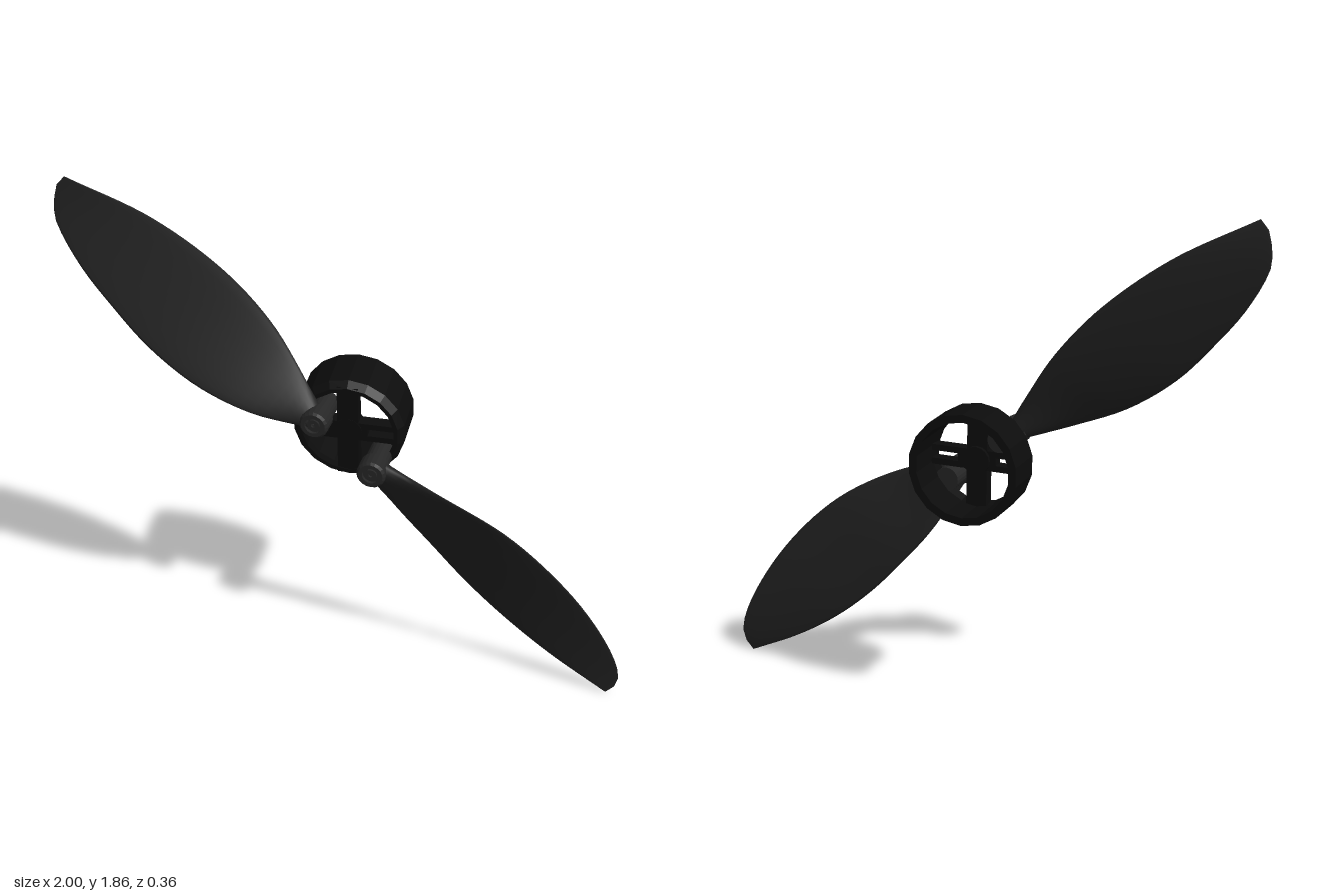
import * as THREE from 'three';

const paint = (color) => new THREE.MeshStandardMaterial({ color, side: THREE.DoubleSide });
const bladeMat = paint(0x222222);
const hubMat = paint(0x0c0c0c);
const boltMat = paint(0x262626);

function add(parent, name, geometry, material) {
  const mesh = new THREE.Mesh(geometry, material);
  mesh.name = name;
  parent.add(mesh);
  return mesh;
}

// Twisted blade: lens sections lofted between a leading and a trailing edge curve
function bladeGeometry(leading, trailing) {
  const toCurve = (pts) => new THREE.CatmullRomCurve3(pts.map((p) => new THREE.Vector3(...p)), false, 'centripetal');
  const a = toCurve(leading), b = toCurve(trailing);
  const rows = 30, cols = 20, pos = [], index = [];
  for (let i = 0; i <= rows; i++) {
    const t = i / rows;
    const A = a.getPointAt(t), B = b.getPointAt(t);
    const half = 0.03 * Math.max(0, 1 - t / 0.25) ** 2 + 0.011 * Math.sqrt(1 - t);
    for (let k = 0; k < cols; k++) {
      const ang = (k / cols) * Math.PI * 2;
      const p = A.clone().lerp(B, (1 - Math.cos(ang)) / 2);
      pos.push(p.x, p.y, p.z + half * Math.sin(ang));
    }
  }
  for (let i = 0; i < rows; i++) {
    for (let k = 0; k < cols; k++) {
      const p = i * cols + k, q = i * cols + ((k + 1) % cols);
      index.push(p, p + cols, q, q, p + cols, q + cols);
    }
  }
  const g = new THREE.BufferGeometry();
  g.setAttribute('position', new THREE.Float32BufferAttribute(pos, 3));
  g.setIndex(index);
  g.computeVertexNormals();
  return g;
}

// Lathe turned so that its axis runs along z; points are [radius, z]
function turned(points, segments) {
  const g = new THREE.LatheGeometry(points.map(([r, z]) => new THREE.Vector2(r, z)), segments).toNonIndexed();
  g.rotateX(Math.PI / 2);
  g.computeVertexNormals();
  return g;
}

function createHub() {
  const hub = new THREE.Group();
  hub.name = 'hub';

  // Hollow drum with a chamfered front rim
  add(hub, 'drum', turned([
    [0.172, -0.17], [0.2, -0.17], [0.2, -0.008], [0.18, 0.018],
    [0.165, 0.018], [0.172, -0.02], [0.172, -0.17],
  ], 18), hubMat);

  // Vertical spoke
  const spoke = add(hub, 'verticalSpoke', new THREE.BoxGeometry(0.075, 0.36, 0.045), hubMat);
  spoke.position.z = -0.008;

  // Horizontal spoke with a slot on each side
  const shape = new THREE.Shape([[-0.18, -0.036], [0.18, -0.036], [0.18, 0.036], [-0.18, 0.036]]
    .map(([x, y]) => new THREE.Vector2(x, y)));
  for (const s of [-1, 1]) {
    shape.holes.push(new THREE.Path([[0.07, -0.014], [0.07, 0.014], [0.168, 0.014], [0.168, -0.014]]
      .map(([x, y]) => new THREE.Vector2(s * x, y))));
  }
  const slotted = add(hub, 'horizontalSpoke',
    new THREE.ExtrudeGeometry(shape, { depth: 0.045, bevelEnabled: false }), hubMat);
  slotted.position.z = -0.032;

  // Centre boss
  add(hub, 'centreBoss', turned([[0, -0.045], [0.05, -0.045], [0.05, 0.016], [0, 0.016]], 16), hubMat);

  hub.position.set(-0.015, 0.94, 0);
  hub.rotation.set(0.04, 0.055, 0);
  return hub;
}

// Pivot post with a collar and a recessed screw head
function createPivot(name, x, y, tiltY) {
  const pivot = new THREE.Group();
  pivot.name = name;
  add(pivot, 'post', turned([
    [0, -0.03], [0.043, -0.03], [0.043, 0.065], [0.052, 0.07], [0.052, 0.128],
    [0.044, 0.136], [0.03, 0.136], [0.03, 0.124], [0, 0.124],
  ], 20), boltMat);
  add(pivot, 'screwHead', turned([[0.008, 0.12], [0.008, 0.132], [0.022, 0.132], [0.022, 0.12]], 12), boltMat);
  pivot.position.set(x, y, 0);
  pivot.rotation.y = tiltY;
  return pivot;
}

export function createModel() {
  const model = new THREE.Group();
  model.name = 'foldingPropeller';
  model.add(createHub());
  model.add(createPivot('upperPivot', -0.1, 1.02, -0.04));
  model.add(createPivot('lowerPivot', 0.1, 0.85, 0));

  // Upper blade, root to tip along each edge
  add(model, 'upperBlade', bladeGeometry(
    [[-0.09, 1.045, 0.075], [-0.176, 1.18, 0.04], [-0.283, 1.342, 0.02], [-0.444, 1.524, 0.028],
      [-0.68, 1.711, 0.065], [-0.957, 1.861, 0.13]],
    [[-0.12, 0.99, 0.095], [-0.3, 1.048, 0.16], [-0.497, 1.134, 0.175], [-0.674, 1.262, 0.17],
      [-0.807, 1.406, 0.162], [-0.909, 1.535, 0.154], [-0.984, 1.668, 0.143], [-1, 1.727, 0.138],
      [-0.98, 1.84, 0.131], [-0.957, 1.861, 0.13]],
  ), bladeMat);

  // Lower blade
  add(model, 'lowerBlade', bladeGeometry(
    [[0.07, 0.82, 0.075], [0.18, 0.63, 0.015], [0.278, 0.508, -0.003], [0.422, 0.353, -0.005],
      [0.572, 0.225, 0.002], [0.743, 0.112, 0.02], [0.957, 0, 0.045]],
    [[0.13, 0.88, 0.09], [0.358, 0.797, 0.122], [0.572, 0.679, 0.112], [0.722, 0.551, 0.1],
      [0.856, 0.39, 0.078], [0.957, 0.219, 0.058], [0.995, 0.118, 0.05], [1, 0.07, 0.047],
      [0.984, 0.027, 0.046], [0.957, 0, 0.045]],
  ), bladeMat);
  return model;
}
